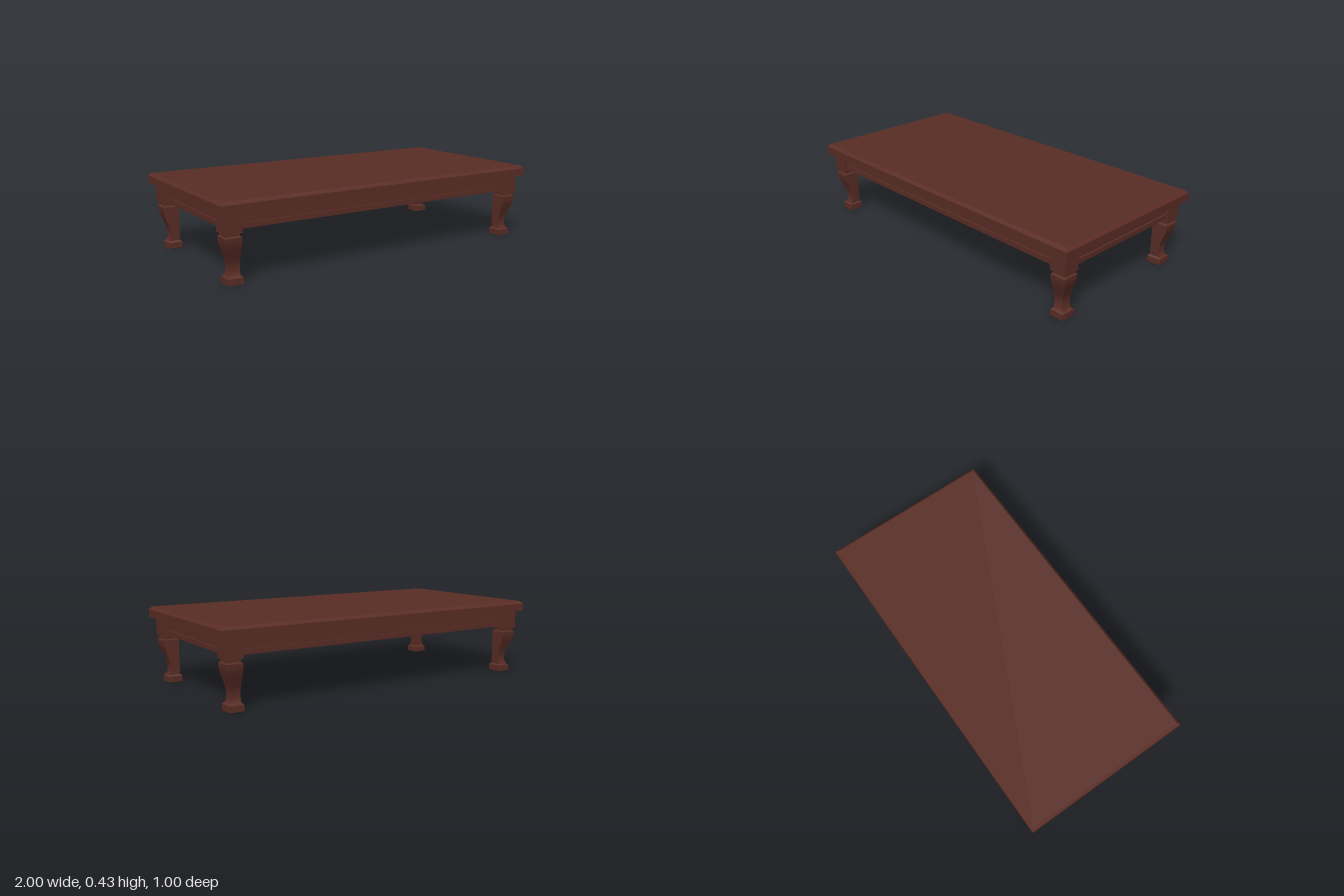
import * as THREE from 'three';
import { toCreasedNormals } from 'three/addons/utils/BufferGeometryUtils.js';

// Closed solid through rectangular sections [y, x0, x1, z0, z1], listed bottom to top
function loftRects(sections) {
  const pos = [], idx = [];
  for (const [y, x0, x1, z0, z1] of sections) {
    pos.push(x1, y, z1, x1, y, z0, x0, y, z0, x0, y, z1);
  }
  for (let i = 0; i < sections.length - 1; i++) {
    for (let j = 0; j < 4; j++) {
      const a = i * 4 + j, b = i * 4 + (j + 1) % 4;
      idx.push(a, b, b + 4, a, b + 4, a + 4);
    }
  }
  const t = (sections.length - 1) * 4;
  idx.push(0, 2, 1, 0, 3, 2, t, t + 1, t + 2, t, t + 2, t + 3);
  const g = new THREE.BufferGeometry();
  g.setAttribute('position', new THREE.Float32BufferAttribute(pos, 3));
  g.setIndex(idx);
  return toCreasedNormals(g, 0.45);
}

// Section centred on the table; z is the half depth, the half width is 0.5 more
const centred = (y, z) => [y, -z - 0.5, z + 0.5, -z, z];

export function createModel() {
  const wood = new THREE.MeshStandardMaterial({ color: 0x5a2d25 });
  const model = new THREE.Group();
  model.name = 'lowTable';
  const add = (name, geometry, parent = model) => {
    const mesh = new THREE.Mesh(geometry, wood);
    mesh.name = name;
    parent.add(mesh);
  };

  // Top with a chamfered upper edge
  add('tableTop', loftRects([centred(0.372, 0.5), centred(0.415, 0.5), centred(0.431, 0.484)]));

  // Solid apron with a lip under the top and a strip along the bottom
  add('apron', loftRects([centred(0.281, 0.44), centred(0.373, 0.44)]));
  add('apronLip', loftRects([centred(0.362, 0.455), centred(0.373, 0.455)]));
  add('apronStrip', loftRects([centred(0.281, 0.45), centred(0.308, 0.45)]));

  // Curved outer face of the leg, from ankle to knee: [offset, height]
  const curve = new THREE.SplineCurve([
    [0.435, 0.042], [0.429, 0.06], [0.427, 0.085], [0.431, 0.115],
    [0.444, 0.155], [0.456, 0.19], [0.463, 0.218], [0.465, 0.24],
  ].map(([x, y]) => new THREE.Vector2(x, y)));

  // Leg parts as [height, inner offset, outer offset]
  const parts = {
    foot: [[0, 0.364, 0.447], [0.034, 0.364, 0.447], [0.042, 0.373, 0.435]],
    shaft: curve.getPoints(24).map((p) => [p.y, 0.374, p.x]),
    neck: [[0.24, 0.374, 0.465], [0.244, 0.374, 0.465], [0.249, 0.382, 0.457], [0.262, 0.382, 0.457], [0.266, 0.374, 0.466]],
    block: [[0.265, 0.372, 0.468], [0.373, 0.372, 0.468]],
  };
  const span = (s, a, b) => (s > 0 ? [a, b] : [-b, -a]);
  for (const sx of [-1, 1]) {
    for (const sz of [-1, 1]) {
      const leg = new THREE.Group();
      leg.name = (sz > 0 ? 'front' : 'back') + (sx > 0 ? 'Left' : 'Right') + 'Leg';
      for (const [name, rows] of Object.entries(parts)) {
        add(name, loftRects(rows.map(([y, inner, outer]) =>
          [y, ...span(sx, inner + 0.5, outer + 0.5), ...span(sz, inner, outer)])), leg);
      }
      model.add(leg);
    }
  }
  return model;
}
